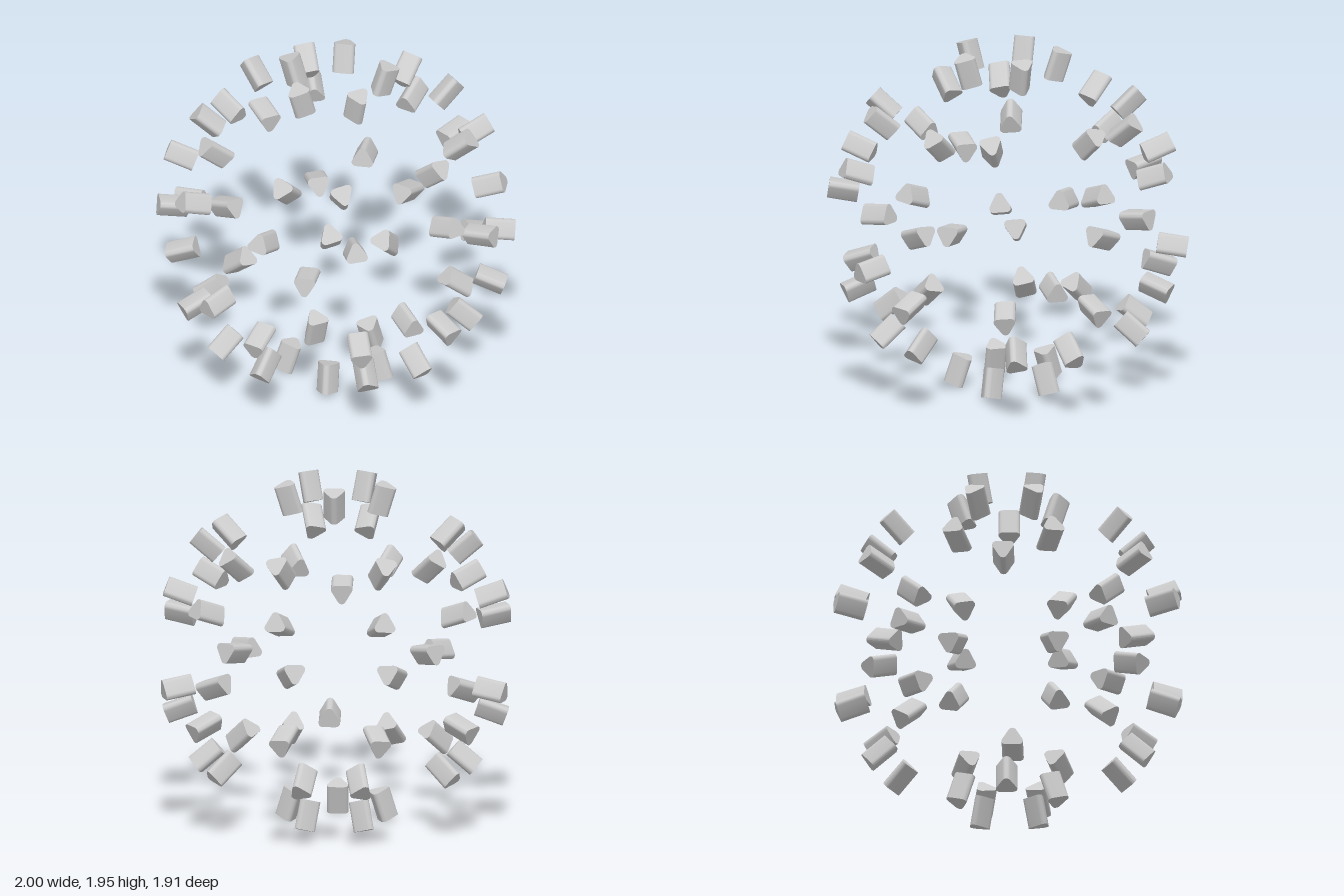
import * as THREE from 'three';
import { toCreasedNormals } from 'three/addons/utils/BufferGeometryUtils.js';

const RADIUS = 0.9195;                            // prism centre from the middle of the sphere
const LENGTH = 0.167;                             // prism length along the radius
const SIDE = 0.072, CORNER = 0.0235;              // rounded triangle section
const SPREAD = THREE.MathUtils.degToRad(17.5);    // prism to the axis of its ring of five
const FIFTH = Math.PI * 2 / 5;
const CENTRE_Y = 0.974;

// Rounded triangular prism along +y, its apex towards +x
function prismGeometry() {
  const half = (SIDE * Math.sqrt(3) / 2 + 2 * CORNER) / 2 - CORNER;
  const centres = [[half, 0], [-half, SIDE / 2], [-half, -SIDE / 2]];
  const shape = new THREE.Shape();
  centres.forEach(([x, y], i) => {
    const mid = i * Math.PI * 2 / 3;
    shape.absarc(x, y, CORNER, mid - Math.PI / 3, mid + Math.PI / 3, false);
  });
  const geometry = new THREE.ExtrudeGeometry(shape, { depth: LENGTH, bevelEnabled: false, curveSegments: 3 });
  geometry.rotateX(-Math.PI / 2);
  geometry.translate(0, RADIUS - LENGTH / 2, 0);
  geometry.rotateZ(-SPREAD);
  return toCreasedNormals(geometry, 0.6);
}

export function createModel() {
  const model = new THREE.Group();
  model.name = 'prismSphere';
  const material = new THREE.MeshStandardMaterial({ color: 0xcccccc });
  const geometry = prismGeometry();

  // Five prisms round the y axis
  function ring(start) {
    const group = new THREE.Group();
    group.name = 'prismRing';
    for (let i = 0; i < 5; i++) {
      const prism = new THREE.Mesh(geometry, material);
      prism.name = 'prism';
      prism.rotation.y = start + i * FIFTH;
      group.add(prism);
    }
    return group;
  }

  // Half of the icosahedral arrangement: a polar ring and five tilted rings
  function hemisphere(name) {
    const group = new THREE.Group();
    group.name = name;
    group.add(ring(Math.PI));
    for (let i = 0; i < 5; i++) {
      const tilted = ring(0);
      tilted.rotation.set(0, i * FIFTH, -Math.atan(2), 'YXZ');
      group.add(tilted);
    }
    group.position.y = CENTRE_Y;
    return group;
  }

  const upper = hemisphere('upperHalf');
  const lower = hemisphere('lowerHalf');
  lower.rotation.z = Math.PI;
  model.add(upper, lower);
  return model;
}
